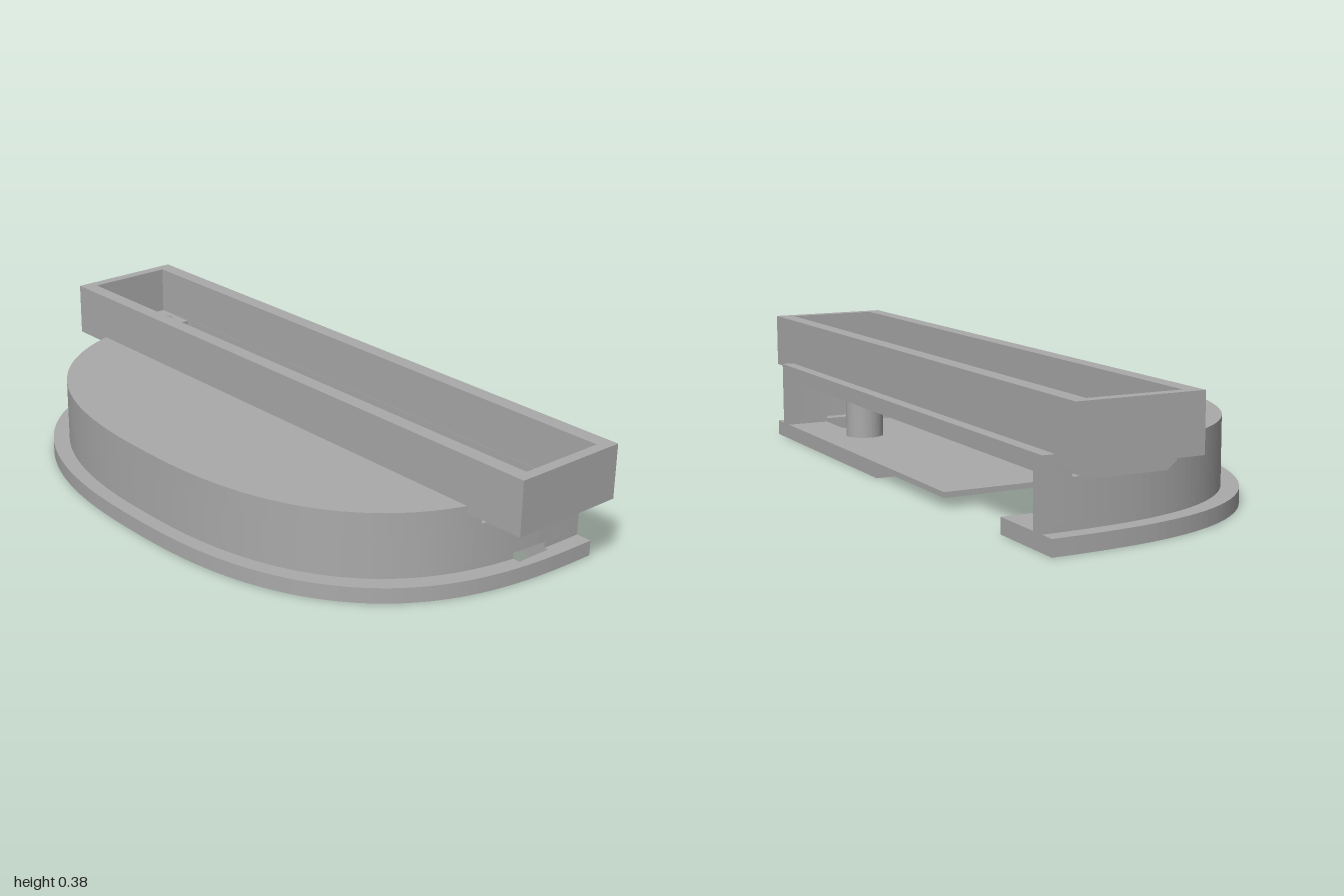
import * as THREE from 'three';

const P = 3.0, Q = 2.45, CX = 0.5, CZ = -0.0225, X1 = 0.447;
const PLATE = { a: 0.95, b: 0.9295 };
const OUTER = { a: 0.905, b: 0.8805 };
const INNER = { a: 0.86, b: 0.8345 };

// Points [x, z] along a D-shaped curve; angle 0 is the far left
const at = ({ a, b }, t) => [
  CX - a * Math.cos(t) ** (2 / P),
  CZ + Math.sign(t) * b * Math.abs(Math.sin(t)) ** (2 / Q),
];
const angleAt = ({ a }, x) => Math.acos(((CX - x) / a) ** (P / 2));
function arc(curve, t0, t1, n) {
  return Array.from({ length: n + 1 }, (_, i) => at(curve, t0 + (t1 - t0) * i / n));
}
const dee = (curve, x) => arc(curve, -angleAt(curve, x), angleAt(curve, x), 96);
const side = (curve, x0, x1, s) => arc(curve, s * angleAt(curve, x0), s * angleAt(curve, x1), 12);
const rect = (x0, x1, z0, z1) => [[x0, z0], [x1, z0], [x1, z1], [x0, z1]];
const ring = (x, z, r, n) => Array.from({ length: n }, (_, i) => {
  const t = i / n * Math.PI * 2;
  return [x + r * Math.cos(t), z + r * Math.sin(t)];
});

// Outline to 2D points, always counter-clockwise
function loop(pts) {
  const out = pts.map(([x, z]) => new THREE.Vector2(x, -z));
  return THREE.ShapeUtils.isClockWise(out) ? out.reverse() : out;
}

export function createModel() {
  const model = new THREE.Group();
  const grey = new THREE.MeshStandardMaterial({ color: 0xaaaaaa });
  grey.name = 'grey plastic';

  function add(name, geo) {
    const mesh = new THREE.Mesh(geo, grey);
    mesh.name = name;
    model.add(mesh);
  }
  // Extrude an [x, z] outline upward from y0 to y1
  function slab(name, outline, y0, y1, holes = []) {
    const shape = new THREE.Shape(loop(outline));
    shape.holes = holes.map((h) => new THREE.Path(loop(h).reverse()));
    const geo = new THREE.ExtrudeGeometry(shape, { depth: y1 - y0, bevelEnabled: false });
    add(name, geo.rotateX(-Math.PI / 2).translate(0, y0, 0));
  }
  const wallU = (name, x, y0, y1) =>
    slab(name, [...dee(OUTER, x), ...dee(INNER, x).reverse()], y0, y1);
  const wallStrip = (name, x0, x1, s, y0, y1) =>
    slab(name, [...side(OUTER, x0, x1, s), ...side(INNER, x0, x1, s).reverse()], y0, y1);

  // Base plate with an edge cutout, and a shallow recess underneath
  const notch = (zFront) => [[X1, zFront], [0.015, zFront], [0.015, -0.687], [X1, -0.687]];
  const baseHole = rect(0.2, 0.315, 0.667, 0.868);
  slab('basePlateLower', [...dee(PLATE, X1), ...notch(0.095)], 0, 0.03, [baseHole]);
  slab('basePlateUpper', [...dee(PLATE, X1), ...notch(-0.358)], 0.03, 0.046, [baseHole]);

  // Curved wall: small opening at the foot, channel slot at the top
  wallU('wallFoot', 0.2, 0.046, 0.065);
  wallStrip('wallFootFront', 0.315, X1, 1, 0.046, 0.065);
  wallStrip('wallFootBack', 0.2, X1, -1, 0.046, 0.065);
  wallU('wall', X1, 0.065, 0.18);
  wallU('wallTop', 0.09, 0.18, 0.195);
  for (const s of [1, -1]) wallStrip('wallTopCorner', 0.362, X1, s, 0.18, 0.195);

  // Roof on both sides of the channel slot
  slab('roof', dee(OUTER, 0.09), 0.195, 0.241);
  slab('roofEdge', [...side(OUTER, 0.362, X1, 1), ...side(OUTER, 0.362, X1, -1).reverse()], 0.195, 0.241);

  // Long open channel frame
  slab('channelFrame', rect(0.044, 0.411, -1, 1), 0.221, 0.383, [rect(0.09, 0.363, -0.967, 0.967)]);

  // Hollow screw post
  slab('screwPost', ring(0.299, 0.53, 0.058, 40), 0.046, 0.22, [ring(0.299, 0.53, 0.026, 28)]);

  // Nut holder: round holes below hexagonal pockets, sloped lower left edge
  const nuts = [0.175, 0.292];
  const back = -0.98, front = -0.825, nutZ = -0.902;
  slab('nutHolderBottom', rect(0.14, 0.363, back, front), 0.189, 0.212,
    nuts.map((x) => ring(x, nutZ, 0.034, 28)));
  slab('nutHolderTop', rect(0.112, 0.363, back, front), 0.212, 0.235,
    nuts.map((x) => ring(x, nutZ, 0.057, 6)));
  const slope = new THREE.Shape([
    new THREE.Vector2(0.14, 0.189), new THREE.Vector2(0.14, 0.212), new THREE.Vector2(0.112, 0.212),
  ]);
  add('nutHolderSlope', new THREE.ExtrudeGeometry(slope, { depth: front - back, bevelEnabled: false })
    .translate(0, 0, back));

  return model;
}
